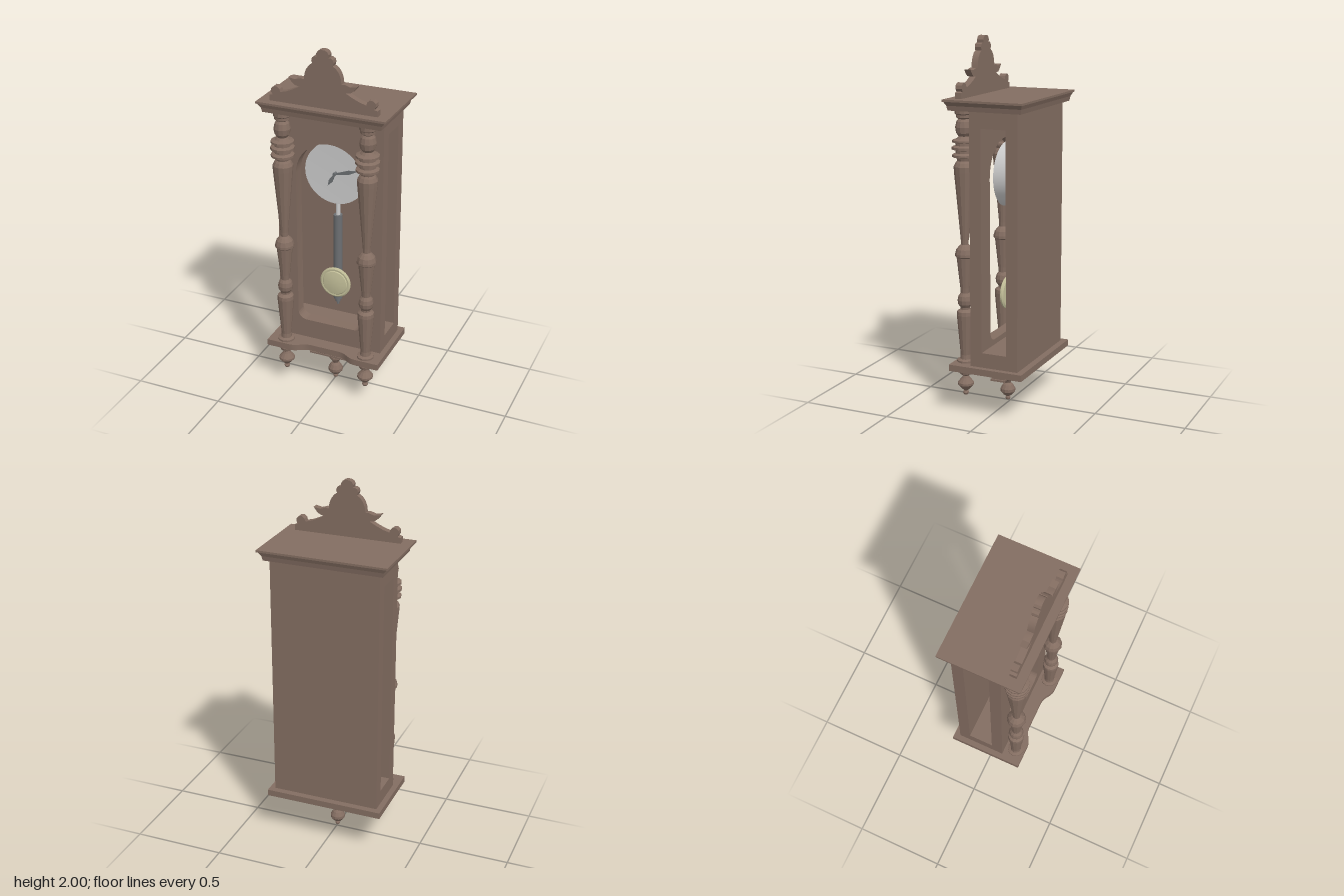
import * as THREE from 'three';
import { toCreasedNormals } from 'three/addons/utils/BufferGeometryUtils.js';

const mat = (color, flatShading = false) => new THREE.MeshStandardMaterial({ color, flatShading });
const wood = mat(0x836d61), turnedWood = mat(0x836d61, true), plain = mat(0xcccccc);
const darkMetal = mat(0x6c6f72), brass = mat(0xc4c09a);

export function createModel() {
  const root = new THREE.Group();

  const add = (name, geo, material, x = 0, y = 0, z = 0) => {
    const m = new THREE.Mesh(geo, material);
    m.name = name;
    m.position.set(x, y, z);
    root.add(m);
    return m;
  };
  // Box given by its limits
  const box = (name, x0, x1, y0, y1, z0, z1) =>
    add(name, new THREE.BoxGeometry(x1 - x0, y1 - y0, z1 - z0), wood, (x0 + x1) / 2, (y0 + y1) / 2, (z0 + z1) / 2);
  // Slab whose lower half-sizes differ from its upper ones
  const flared = (name, y0, y1, bx, bz, tx, tz, z = 0) => {
    const g = new THREE.BoxGeometry(2, y1 - y0, 2), p = g.attributes.position;
    for (let i = 0; i < p.count; i++) {
      const up = p.getY(i) > 0;
      p.setX(i, p.getX(i) * (up ? tx : bx));
      p.setZ(i, p.getZ(i) * (up ? tz : bz));
    }
    return add(name, toCreasedNormals(g, 0.2), wood, 0, (y0 + y1) / 2, z);
  };
  const extrude = (shape, depth) => toCreasedNormals(
    new THREE.ExtrudeGeometry(shape, { depth, bevelEnabled: false, curveSegments: 10 }), 0.5);
  // Turned part from [radius, height] pairs, bottom to top
  const turned = (pts, sides) => new THREE.LatheGeometry(pts.map(p => new THREE.Vector2(...p)), sides);

  // Case: front with arched opening, back, floor and ceiling; the sides stay open between them
  const front = new THREE.Shape([[-0.3, 0.28], [0.3, 0.28], [0.3, 1.64], [-0.3, 1.64]].map(p => new THREE.Vector2(...p)));
  const hole = new THREE.Path();
  hole.moveTo(-0.14, 0.39);
  hole.lineTo(0.14, 0.39);
  hole.absarc(0.14, 0.44, 0.05, -Math.PI / 2, 0);
  hole.lineTo(0.193, 1.275);
  hole.absarc(0, 1.275, 0.193, 0, Math.PI);
  hole.lineTo(-0.19, 0.44);
  hole.absarc(-0.14, 0.44, 0.05, Math.PI, Math.PI * 1.5);
  front.holes.push(hole);
  add('caseFront', extrude(front, 0.065), wood, 0, 0, 0.03);
  box('caseBack', -0.3, 0.3, 0.28, 1.64, -0.175, -0.11);
  box('caseFloor', -0.3, 0.3, 0.28, 0.36, -0.11, 0.03);
  box('caseCeiling', -0.3, 0.3, 1.55, 1.64, -0.11, 0.03);

  // Base board with a serpentine front edge (drawn in plan, y = -z)
  const plan = new THREE.Shape();
  plan.moveTo(-0.33, 0.21);
  plan.lineTo(-0.33, -0.21);
  plan.lineTo(-0.2, -0.21);
  plan.bezierCurveTo(-0.14, -0.21, -0.14, -0.17, -0.08, -0.17);
  plan.lineTo(0.08, -0.17);
  plan.bezierCurveTo(0.14, -0.17, 0.14, -0.21, 0.2, -0.21);
  plan.lineTo(0.33, -0.21);
  plan.lineTo(0.33, 0.21);
  add('baseBoard', extrude(plan, 0.035).rotateX(-Math.PI / 2), wood, 0, 0.245, 0);

  // Cornice
  flared('corniceLower', 1.637, 1.662, 0.325, 0.203, 0.33, 0.208);
  flared('corniceMiddle', 1.662, 1.684, 0.33, 0.208, 0.347, 0.217);
  flared('corniceTop', 1.684, 1.695, 0.354, 0.222, 0.354, 0.222);

  // Pediment crest: right half outline mirrored
  const half = [[0.295, 1.693], [0.295, 1.725], [0.277, 1.73], [0.286, 1.745], [0.284, 1.762], [0.27, 1.775],
    [0.253, 1.775], [0.239, 1.763], [0.234, 1.748], [0.2, 1.757], [0.165, 1.772], [0.125, 1.793], [0.15, 1.797],
    [0.168, 1.81], [0.187, 1.835], [0.15, 1.828], [0.12, 1.838], [0.102, 1.835], [0.098, 1.865], [0.089, 1.89],
    [0.073, 1.912], [0.055, 1.923], [0.06, 1.94], [0.056, 1.955], [0.044, 1.963], [0.032, 1.962], [0.034, 1.978],
    [0.025, 1.992], [0.012, 1.999]];
  const outline = [...half, ...half.map(([x, y]) => [-x, y]).reverse()];
  add('pediment', extrude(new THREE.Shape(outline.map(p => new THREE.Vector2(...p))), 0.036), wood, 0, 0, 0.14);

  // Turned columns and the drops beneath them
  const column = [[0, 0.28], [0.047, 0.28], [0.047, 0.29], [0.03, 0.296], [0.027, 0.32], [0.046, 0.54], [0.044, 0.56],
    [0.026, 0.572], [0.026, 0.582], [0.038, 0.6], [0.041, 0.622], [0.036, 0.645], [0.024, 0.662], [0.026, 0.69],
    [0.044, 0.855], [0.052, 0.862], [0.052, 0.875], [0.045, 0.9], [0.03, 0.917], [0.02, 0.925], [0.021, 0.95],
    [0.053, 1.31], [0.055, 1.34], [0.045, 1.36], [0.036, 1.37], [0.04, 1.385], [0.062, 1.39], [0.062, 1.402],
    [0.044, 1.41], [0.044, 1.425], [0.064, 1.43], [0.064, 1.443], [0.044, 1.45], [0.044, 1.462], [0.062, 1.467],
    [0.062, 1.478], [0.04, 1.485], [0.028, 1.498], [0.04, 1.515], [0.045, 1.545], [0.038, 1.575], [0.028, 1.588],
    [0.04, 1.596], [0.04, 1.61], [0.046, 1.616], [0.046, 1.638], [0, 1.638]];
  const drop = [[0, 0.09], [0.012, 0.093], [0.017, 0.104], [0.011, 0.116], [0.02, 0.124], [0.044, 0.15], [0.044, 0.162],
    [0.022, 0.188], [0.016, 0.2], [0.034, 0.212], [0.038, 0.228], [0.032, 0.246], [0, 0.246]];
  for (const [side, x] of [['left', 0.238], ['right', -0.238]]) {
    add(side + 'Column', turned(column, 12), turnedWood, x, 0, 0.155);
    add(side + 'Drop', turned(drop, 12), turnedWood, x, 0, 0.155);
  }

  // Bracket under the base, tapered in depth, with its plate and centre drop
  const br = new THREE.Shape();
  br.moveTo(-0.165, 0.246);
  br.quadraticCurveTo(-0.14, 0.185, -0.09, 0.172);
  br.lineTo(0.09, 0.172);
  br.quadraticCurveTo(0.14, 0.185, 0.165, 0.246);
  const bg = new THREE.ExtrudeGeometry(br, { depth: 2, bevelEnabled: false, curveSegments: 8 }).translate(0, 0, -1);
  const bp = bg.attributes.position;
  for (let i = 0; i < bp.count; i++) bp.setZ(i, bp.getZ(i) * (0.022 + (bp.getY(i) - 0.172) * 0.2));
  add('bracket', toCreasedNormals(bg, 0.5), wood, 0, 0, 0.015);
  flared('bracketPlate', 0.16, 0.174, 0.132, 0.036, 0.132, 0.042, 0.015);
  flared('bracketLip', 0.15, 0.16, 0.142, 0.04, 0.142, 0.04, 0.015);
  add('centreDrop', turned([[0, 0], [0.011, 0.004], [0.014, 0.014], [0.01, 0.023], [0.025, 0.032], [0.041, 0.052],
    [0.041, 0.068], [0.028, 0.09], [0.016, 0.1], [0.02, 0.112], [0.035, 0.13], [0.035, 0.142], [0.028, 0.151], [0, 0.151]], 12),
    turnedWood, 0, 0, 0.015);

  // Clock drum with a shallow dished dial, hub and rear posts
  const drum = turned([[0, 0], [0.174, 0], [0.174, 0.09], [0.165, 0.09], [0, 0.08]], 40).rotateX(Math.PI / 2);
  add('dialDrum', toCreasedNormals(drum, 0.5), plain, 0, 1.275, -0.07);
  add('handHub', new THREE.CylinderGeometry(0.009, 0.009, 0.028, 12).rotateX(Math.PI / 2), darkMetal, 0, 1.275, 0.021);
  for (const x of [-0.09, 0.09]) for (const y of [1.183, 1.367])
    add('drumPost', new THREE.CylinderGeometry(0.009, 0.009, 0.045, 12).rotateX(Math.PI / 2), plain, x, y, -0.09);
  const hand = (name, length, angle, z) => {
    const s = new THREE.Shape([[0, -0.004], [length * 0.6, -0.011], [length, 0], [length * 0.6, 0.011], [0, 0.004]]
      .map(p => new THREE.Vector2(...p)));
    add(name, extrude(s, 0.004), darkMetal, 0, 1.275, z).rotation.z = angle;
  };
  hand('minuteHand', 0.14, 0.28, 0.026);
  hand('hourHand', 0.085, -2.08, 0.021);

  // Pendulum: rod, weight tube, stepped tip and bob
  const cyl = (name, r, y0, y1, material) =>
    add(name, new THREE.CylinderGeometry(r, r, y1 - y0, 20), material, 0, (y0 + y1) / 2, -0.018);
  cyl('pendulumRod', 0.012, 1.01, 1.11, plain);
  cyl('pendulumTube', 0.024, 0.505, 1.02, darkMetal);
  cyl('pendulumCollar', 0.014, 0.485, 0.505, darkMetal);
  cyl('pendulumTip', 0.007, 0.467, 0.485, darkMetal);
  const bob = turned([[0, 0], [0.078, 0], [0.089, 0.006], [0.089, 0.014], [0.082, 0.019], [0.072, 0.018], [0.068, 0.022],
    [0.04, 0.027], [0, 0.029]], 36).rotateX(Math.PI / 2);
  add('pendulumBob', toCreasedNormals(bob, 0.5), brass, 0, 0.62, 0.006);

  return root;
}
